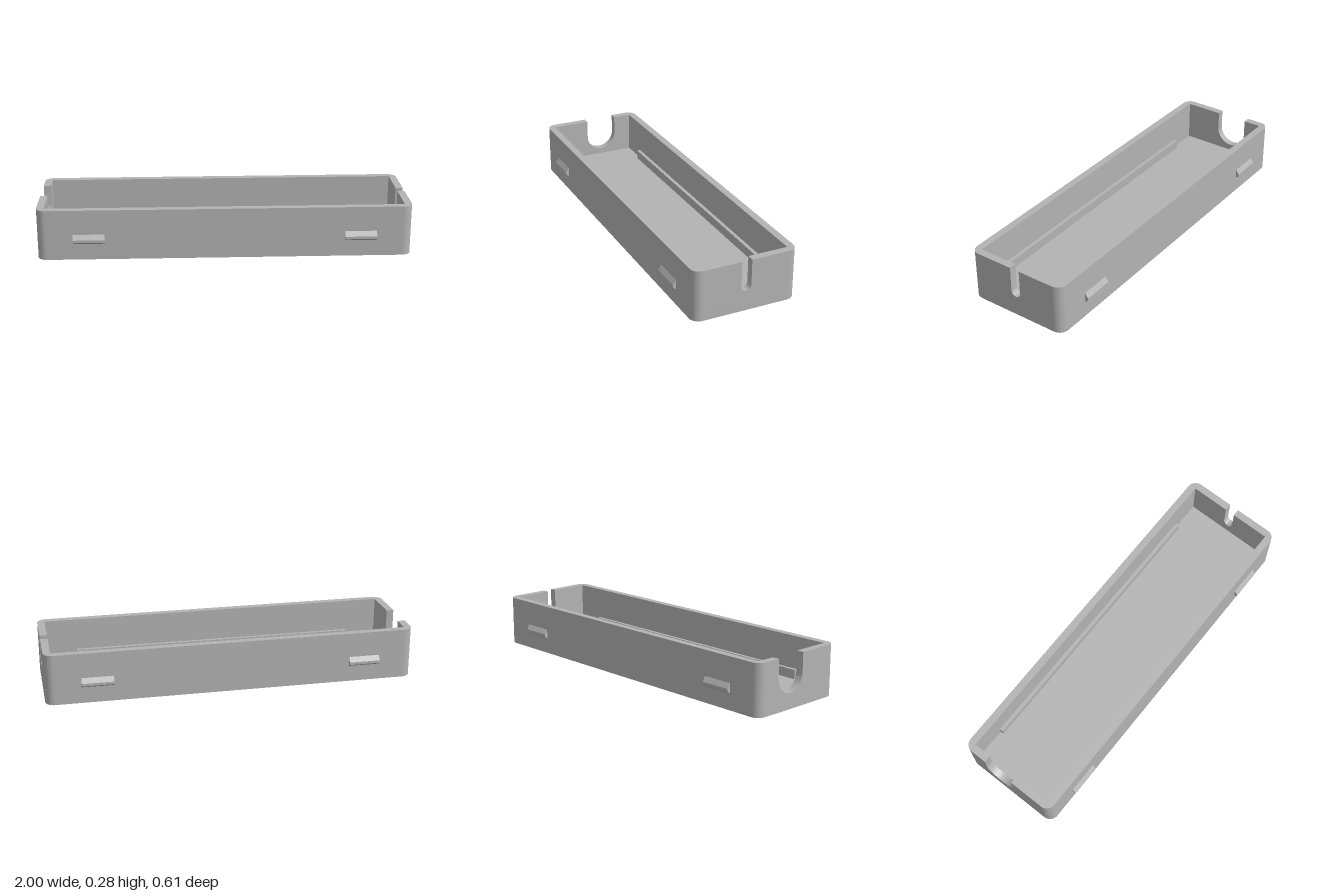
import * as THREE from 'three';
import { toCreasedNormals } from 'three/addons/utils/BufferGeometryUtils.js';

const X = 1, Z = 0.285, H = 0.275;        // outer half sizes and height
const IX = 0.96, IZ = 0.245, FLOOR = 0.05; // inner half sizes and floor level
const R = 0.05, SEAM = Z - R;              // corner radius and start of the corner curve

function extrude(shape, depth) {
  return new THREE.ExtrudeGeometry(shape, { depth, bevelEnabled: false, curveSegments: 16 });
}

// plan shape (x, -z) raised from y0 to y1
function raise(shape, y0, y1) {
  return toCreasedNormals(extrude(shape, y1 - y0).rotateX(-Math.PI / 2).translate(0, y0, 0), 0.5);
}

// end-on shape (-z, y) swept along x from x0 to x1
function sweep(shape, x0, x1) {
  return toCreasedNormals(extrude(shape, x1 - x0).rotateY(Math.PI / 2).translate(x0, 0, 0), 0.5);
}

// rounded half outline, from the right side over the long side to the left side
function halfOutline(shape) {
  shape.moveTo(X, SEAM);
  shape.absarc(X - R, SEAM, R, 0, Math.PI / 2, false);
  shape.absarc(-X + R, SEAM, R, Math.PI / 2, Math.PI, false);
}

// end wall with a round-bottomed slot open at the top
function slottedWall(c, r, cy) {
  const s = new THREE.Shape();
  s.moveTo(-SEAM, FLOOR);
  s.lineTo(SEAM, FLOOR);
  s.lineTo(SEAM, H);
  s.lineTo(c + r, H);
  s.lineTo(c + r, cy);
  s.absarc(c, cy, r, 0, -Math.PI, true);
  s.lineTo(c - r, H);
  s.lineTo(-SEAM, H);
  return s;
}

export function createModel() {
  const model = new THREE.Group();
  model.name = 'openCase';
  const grey = new THREE.MeshStandardMaterial({ color: 0xb3b3b3 });
  grey.name = 'grey plastic';

  function add(name, geometry, turned = false) {
    const mesh = new THREE.Mesh(geometry, grey);
    mesh.name = name;
    if (turned) mesh.rotation.y = Math.PI;
    model.add(mesh);
  }

  // floor plate with rounded corners
  const plate = new THREE.Shape();
  halfOutline(plate);
  plate.absarc(-X + R, -SEAM, R, Math.PI, Math.PI * 1.5, false);
  plate.absarc(X - R, -SEAM, R, Math.PI * 1.5, Math.PI * 2, false);
  add('floor', raise(plate, 0, FLOOR));

  // long walls, each including its two rounded corners
  const wall = new THREE.Shape();
  halfOutline(wall);
  wall.lineTo(-IX, SEAM);
  wall.lineTo(-IX, IZ);
  wall.lineTo(IX, IZ);
  wall.lineTo(IX, SEAM);
  const wallGeometry = raise(wall, FLOOR, H);

  // wedge-shaped snap tabs
  const wedge = new THREE.Shape([[0.28, 0.087], [0.285, 0.088], [0.303, 0.1], [0.303, 0.114],
    [0.285, 0.14], [0.28, 0.14]].map(([u, v]) => new THREE.Vector2(u, v)));

  for (const [side, turned] of [['back', false], ['front', true]]) {
    add(side + 'Wall', wallGeometry, turned);
    add(side + 'TabA', sweep(wedge, -0.81, -0.64), turned);
    add(side + 'TabB', sweep(wedge, 0.64, 0.81), turned);
    // low inner rail
    add(side + 'Rail', new THREE.BoxGeometry(1.58, 0.05, 0.02).translate(0, FLOOR + 0.025, -IZ + 0.01), turned);
  }

  // end walls: narrow slot on the left, wide offset notch on the right
  add('leftEndWall', sweep(slottedWall(0, 0.0275, 0.1375), IX, X));
  add('rightEndWall', sweep(slottedWall(0.055, 0.09, 0.174), -X, -IX));
  return model;
}
